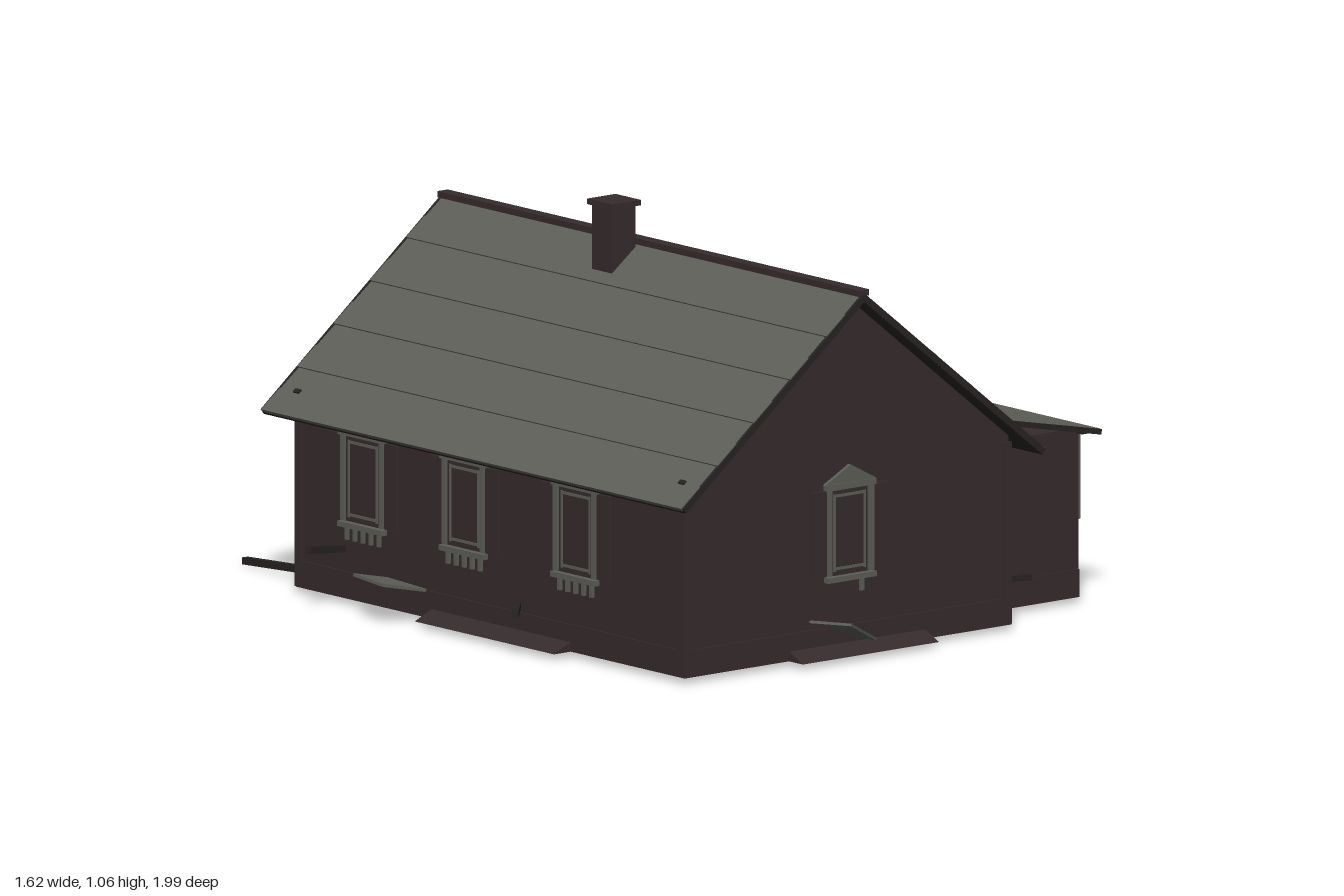
import * as THREE from 'three';

const flat = (name, color) => {
  const m = new THREE.MeshStandardMaterial({ color, flatShading: true });
  m.name = name;
  return m;
};

export function createModel() {
  const model = new THREE.Group();
  model.name = 'oldHouse';
  const brown = flat('dark brown timber', 0x352b2c);
  const grey = flat('weathered grey', 0x5d5e57);
  const dark = flat('dark timber', 0x282322);
  const blue = flat('faded blue', 0x21405e);

  const box = (parent, name, mat, w, h, d, x, y, z, rx = 0, ry = 0, rz = 0) => {
    const m = new THREE.Mesh(new THREE.BoxGeometry(w, h, d), mat);
    m.name = name;
    m.position.set(x, y, z);
    m.rotation.set(rx, ry, rz);
    parent.add(m);
    return m;
  };
  // extruded outline in the x-y plane, then turned and placed
  const prism = (parent, name, mat, pts, depth, x, z, turn = 0) => {
    const shape = new THREE.Shape(pts.map(([px, py]) => new THREE.Vector2(px, py)));
    const m = new THREE.Mesh(new THREE.ExtrudeGeometry(shape, { depth, bevelEnabled: false }), mat);
    m.name = name;
    m.position.set(x, 0, z);
    m.rotation.y = turn;
    parent.add(m);
  };
  const group = (name, parent = model) => {
    const g = new THREE.Group();
    g.name = name;
    parent.add(g);
    return g;
  };

  // Walls with gables, standing on a plinth ring that leaves the floor raised
  prism(model, 'walls', brown,
    [[-0.67, 0.08], [0.4, 0.08], [0.4, 0.507], [-0.13, 0.931], [-0.67, 0.5]], 1.525, 0, -0.63);
  for (const s of [-1, 1]) {
    box(model, 'plinthSide', brown, 0.035, 0.07, 1.535, -0.135 + s * 0.5225, 0.053, 0.1325);
    box(model, 'plinthEnd', brown, 1.01, 0.07, 0.035, -0.135, 0.053, 0.1325 + s * 0.75);
  }
  for (const x of [-0.665, 0.395])
    for (const z of [-0.625, 0.887]) box(model, 'cornerBoard', brown, 0.025, 0.47, 0.025, x, 0.255, z);

  // Main roof: thin decking under five overlapping rows of boards on each slope
  const angle = Math.atan(0.8), slope = 0.768, roofLength = 1.66, row = slope / 5;
  for (const s of [-1, 1]) {
    const roof = group(s > 0 ? 'leftRoofSlope' : 'rightRoofSlope');
    roof.position.set(-0.13, 0.952, 0.125);
    roof.rotation.z = -s * angle;
    box(roof, 'roofDecking', dark, slope, 0.006, roofLength, s * slope / 2, -0.014, 0);
    for (let i = 0; i < 5; i++)
      box(roof, 'roofBoard', grey, row + 0.004, 0.007, roofLength, s * (i + 0.5) * row, -0.003, 0, 0, 0, s * 0.025);
    for (const e of [-1, 1]) {
      box(roof, 'bargeBoard', dark, slope, 0.017, 0.008, s * slope / 2, -0.008, e * roofLength / 2);
      box(roof, 'roofPeg', dark, 0.012, 0.008, 0.022, s * 0.69, 0.001, e * 0.76);
    }
  }
  box(model, 'ridgeBeam', brown, 0.034, 0.016, 1.665, -0.13, 0.953, 0.125);

  // Chimney and its footing
  box(model, 'chimney', brown, 0.078, 0.24, 0.078, -0.185, 0.93, 0.035);
  box(model, 'chimneyCap', brown, 0.095, 0.014, 0.1, -0.185, 1.053, 0.035);
  box(model, 'chimneyFooting', grey, 0.2, 0.065, 0.2, -0.19, 0.051, 0.035);

  // Carved window with a pediment, sill fringe and a pair of shutters; k widens it
  const addWindow = (x, z, turn, shutterMat, drips, k) => {
    const g = group('window');
    g.position.set(x, 0, z);
    g.rotation.y = turn;
    box(g, 'windowPane', brown, 0.13 * k, 0.22, 0.006, 0, 0.33, 0.001);
    for (const s of [-1, 1]) {
      box(g, 'windowPost', grey, 0.016, 0.225, 0.012, s * 0.069 * k, 0.333, 0.005);
      box(g, 'innerFrame', grey, 0.006, 0.2, 0.008, s * 0.05 * k, 0.33, 0.003);
      box(g, 'shutter', shutterMat, 0.048, 0.22, 0.01, s * 0.101 * k, 0.333, 0.004);
    }
    for (const y of [0.237, 0.425]) box(g, 'innerRail', grey, 0.1 * k, 0.007, 0.008, 0, y, 0.003);
    box(g, 'lintel', grey, 0.165 * k, 0.016, 0.014, 0, 0.449, 0.006);
    prism(g, 'pediment', grey, [[-0.085 * k, 0.457], [0.085 * k, 0.457], [0, 0.502]], 0.01, 0, 0);
    box(g, 'sill', grey, 0.16 * k, 0.014, 0.018, 0, 0.211, 0.008);
    for (let i = 0; i < drips; i++) {
      const offset = drips > 1 ? (i / (drips - 1) - 0.5) * 0.115 : 0.04;
      box(g, 'sillFringe', grey, 0.011, 0.034, 0.008, offset * k, 0.188, 0.005);
    }
  };
  addWindow(-0.13, 0.895, 0, brown, 1, 1);
  for (const x of [-0.43, -0.13, 0.17]) addWindow(x, -0.63, Math.PI, brown, 5, 1.1);
  for (const z of [-0.26, 0.067]) addWindow(0.4, z, Math.PI / 2, blue, 5, 1.14);
  for (const z of [-0.37, 0.03, 0.47]) addWindow(-0.67, z, -Math.PI / 2, brown, 5, 1.1);

  // Side porch with battens and a lean-to roof
  const porch = group('porch');
  box(porch, 'porchWalls', brown, 0.37, 0.437, 0.615, 0.578, 0.2365, 0.43);
  box(porch, 'porchPlinth', brown, 0.36, 0.072, 0.622, 0.583, 0.054, 0.43);
  for (const z of [0.735, 0.66, 0.587, 0.355, 0.28, 0.205, 0.13])
    box(porch, 'porchBatten', grey, 0.006, 0.23, 0.01, 0.765, 0.335, z);
  box(porch, 'porchBeam', dark, 0.02, 0.014, 0.66, 0.765, 0.449, 0.43);
  const lean = group('porchRoof', porch);
  lean.position.set(0.597, 0.49, 0.43);
  lean.rotation.z = -0.2;
  box(lean, 'porchDecking', dark, 0.43, 0.006, 0.685, 0, -0.006, 0);
  for (const i of [-1, 0, 1])
    box(lean, 'porchBoard', grey, 0.146, 0.006, 0.68, i * 0.142, 0.001, 0, 0, 0, 0.012);
  box(lean, 'porchRoofCrack', dark, 0.002, 0.001, 0.14, 0.07, 0.0045, 0.01);
  for (const e of [-1, 1]) box(lean, 'porchBarge', dark, 0.43, 0.014, 0.008, 0, -0.003, e * 0.342);
  for (const z of [0.55, 0.25])
    prism(porch, 'porchPatch', grey,
      [[-0.055, 0.02], [0.055, 0.02], [0.04, 0.04], [-0.04, 0.045]], 0.006, 0.762, z, Math.PI / 2);

  // Loose poles lying around the walls
  const pole = (a, b, t = 0.018) => {
    const from = new THREE.Vector3(...a), to = new THREE.Vector3(...b);
    const m = box(model, 'loosePole', dark, t, t, from.distanceTo(to), 0, 0, 0);
    m.position.copy(from).add(to).multiplyScalar(0.5);
    m.lookAt(to);
  };
  pole([-0.59, 0.045, -0.62], [-0.54, 0.012, -0.997]);
  pole([0.1, 0.035, -0.62], [0.345, 0.06, -0.86]);
  pole([-0.64, 0.14, -0.46], [-0.81, 0.163, -0.425]);
  pole([-0.64, 0.1, 0.2], [-0.8, 0.12, 0.38]);
  pole([0.45, 0.1, 0.745], [0.58, 0.098, 0.765], 0.016);

  // Fallen boards and earth banked against the base
  box(model, 'fallenBoardFront', grey, 0.19, 0.007, 0.12, -0.155, 0.075, 0.9, 0, 0.5, -0.38);
  box(model, 'fallenBoardSide', grey, 0.13, 0.008, 0.155, -0.72, 0.1, -0.21, 0, -0.2, -0.2);
  box(model, 'fallenBoardBack', grey, 0.25, 0.008, 0.09, 0, 0.05, -0.69, -0.35, 0.06, 0);
  const bank = (length, x, z, turn) =>
    prism(model, 'earthBank', brown, [[0, 0.018], [0.06, 0.018], [0, 0.045]], length, x, z, turn);
  bank(0.45, 0.12, 0.895, -Math.PI / 2);
  bank(0.55, -0.67, 0.45, Math.PI);
  bank(0.4, -0.2, -0.63, Math.PI / 2);
  return model;
}
